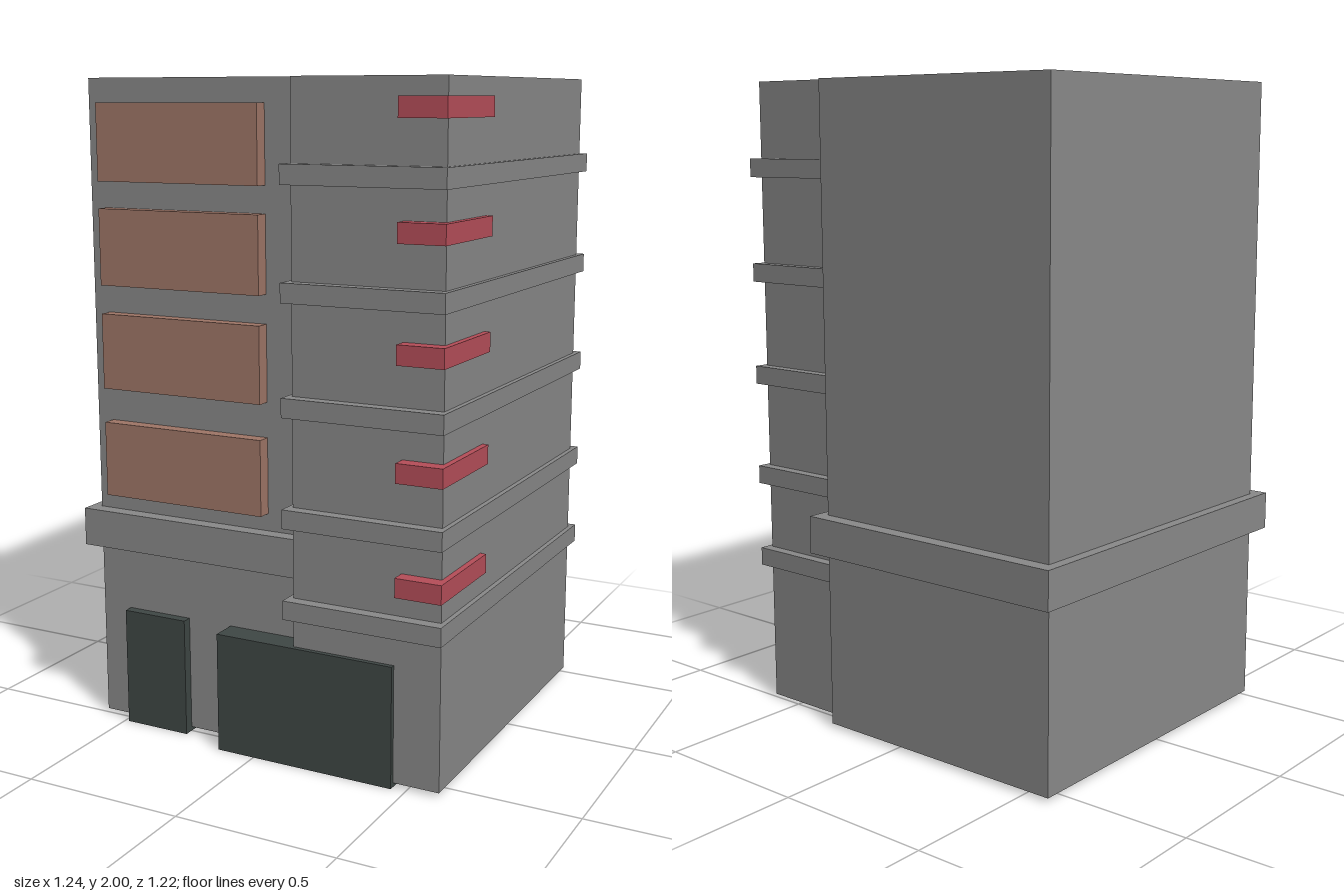
import * as THREE from 'three';

const concrete = new THREE.MeshStandardMaterial({ color: 0x898989, name: 'concrete grey' });
const clay = new THREE.MeshStandardMaterial({ color: 0x9f7667, name: 'clay brown' });
const red = new THREE.MeshStandardMaterial({ color: 0xb64e59, name: 'accent red' });
const dark = new THREE.MeshStandardMaterial({ color: 0x3f4745, name: 'dark door' });

export function createModel() {
  const model = new THREE.Group();
  model.name = 'building';

  // Box given by its limits on each axis
  function box(name, material, [x0, x1], [y0, y1], [z0, z1]) {
    const mesh = new THREE.Mesh(new THREE.BoxGeometry(x1 - x0, y1 - y0, z1 - z0), material);
    mesh.position.set((x0 + x1) / 2, (y0 + y1) / 2, (z0 + z1) / 2);
    mesh.name = name;
    model.add(mesh);
  }

  // Upright prism from an (x, z) floor plan
  function prism(name, material, plan, y0, y1) {
    const shape = new THREE.Shape(plan.map(([x, z]) => new THREE.Vector2(x, -z)));
    const geometry = new THREE.ExtrudeGeometry(shape, { depth: y1 - y0, bevelEnabled: false });
    geometry.rotateX(-Math.PI / 2).translate(0, y0, 0);
    const mesh = new THREE.Mesh(geometry, material);
    mesh.name = name;
    model.add(mesh);
  }

  // Tower: the two halves are offset front and back
  prism('tower', concrete, [
    [-0.587, 0.5], [0.133, 0.5], [0.133, 0.565], [0.6, 0.565],
    [0.6, -0.505], [0.272, -0.505], [0.272, -0.565], [-0.587, -0.565],
  ], 0.015, 2);

  // Wide ledge around the right-hand-plan half of the tower
  box('wideLedge', concrete, [-0.62, 0.133], [0.572, 0.689], [-0.4, 0.545]);
  box('wideLedgeBack', concrete, [-0.62, 0.305], [0.572, 0.689], [-0.61, -0.4]);

  // Thin floor ledges around the other half
  for (const y of [0.463, 0.735, 1.059, 1.384, 1.709]) {
    box('floorLedge', concrete, [0.117, 0.615], [y, y + 0.057], [-0.538, 0.602]);
  }

  // Red corner accents
  for (let i = 0; i < 5; i++) {
    const y = 0.588 + i * 0.3256;
    box('cornerAccent', red, [0.477, 0.618], [y, y + 0.057], [0.286, 0.61]);
  }

  // Projecting facade panels
  for (const y of [0.742, 1.076, 1.391, 1.7]) {
    box('facadePanel', clay, [-0.533, 0.014], [y, y + 0.229], [0.47, 0.543]);
  }

  // Entrances
  box('smallDoor', dark, [-0.487, -0.27], [0.002, 0.371], [0.405, 0.53]);
  box('largeDoor', dark, [-0.122, 0.456], [0.002, 0.371], [0.405, 0.58]);

  return model;
}
